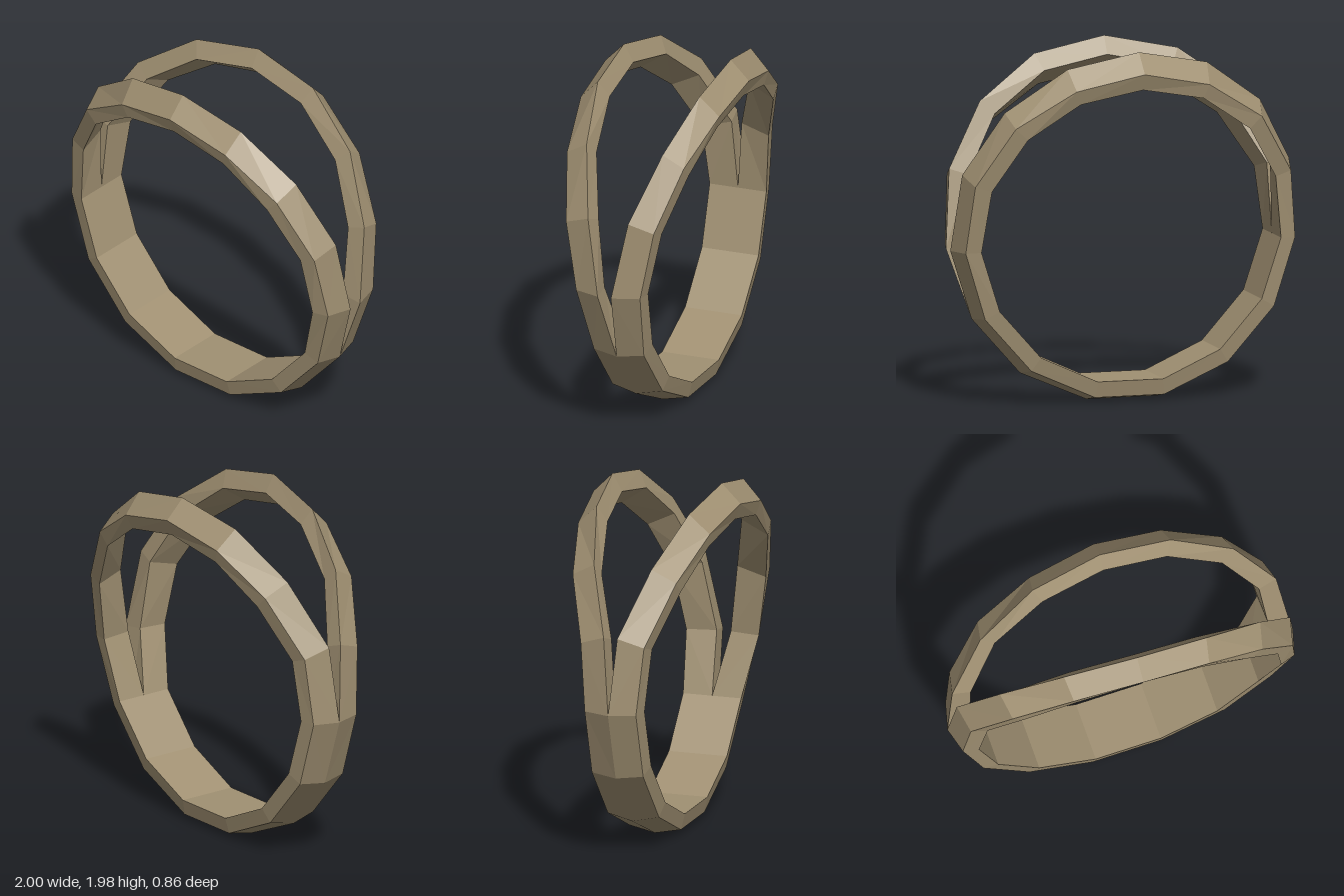
import * as THREE from 'three';

// Stations from the top down one side: ridge x,y | shoulder x,y | inner edge x,y
const outline = [
  [0, 1.99, 0, 1.88, 0, 1.79],
  [0.41, 1.91, 0.39, 1.80, 0.36, 1.723],
  [0.75, 1.67, 0.72, 1.595, 0.65, 1.53],
  [0.958, 1.315, 0.925, 1.265, 0.832, 1.237],
  [1, 0.88, 0.96, 0.885, 0.872, 0.888],
  [0.87, 0.49, 0.838, 0.505, 0.76, 0.55],
  [0.59, 0.175, 0.57, 0.205, 0.52, 0.28],
  [0.205, 0.01, 0.2, 0.04, 0.19, 0.13],
];
const innerScale = [0.9, 0.9, 0.895, 0.89, 0.88, 0.87, 0.87, 0.87];

// Distance from the middle plane: ridge, shoulder, inner edge, split edge
const top = [0.32, 0.43, 0.398, 0.262];
const closed = [0, 0.15, 0.17, 0];
const spread = {
  leftFront: [top, [0.305, 0.415, 0.395, 0.25], [0.23, 0.36, 0.365, 0.203], [0.135, 0.28, 0.29, 0.115], [0.06, 0.205, 0.235, 0.068]],
  leftBack: [top, [0.305, 0.415, 0.39, 0.25], [0.225, 0.34, 0.34, 0.19], [0.105, 0.245, 0.255, 0.09], [0.02, 0.178, 0.19, 0.015]],
  right: [top, [0.27, 0.385, 0.37, 0.22], [0.168, 0.303, 0.305, 0.15], [0.04, 0.185, 0.2, 0.03], closed],
};

// Four corners of the band section at one station
function section(i, xSide, zSide) {
  const [ax, ay, bx, by, cx, cy] = outline[i];
  const table = xSide < 0 ? spread.right : zSide > 0 ? spread.leftFront : spread.leftBack;
  const z = table[i] || closed;
  const k = innerScale[i];
  const open = z[0] > 0;
  const dx = open ? ax * k : cx;
  const dy = open ? 1 + (ay - 1) * k : cy;
  return {
    open,
    pts: [[ax, ay], [bx, by], [cx, cy], [dx, dy]].map(([x, y], j) => [x * xSide, y, z[j] * zSide]),
  };
}

// One half of the band, running full circle and leaning away from the other half
function halfBand(zSide) {
  const ring = [];
  for (let i = 0; i < 8; i++) ring.push(section(i, 1, zSide));
  for (let i = 7; i > 0; i--) ring.push(section(i, -1, zSide));
  const pos = [];
  const quad = (a, b, c, d) => {
    const order = zSide > 0 ? [a, b, c, a, c, d] : [a, c, b, a, d, c];
    order.forEach((p) => pos.push(...p));
  };
  ring.forEach((s, i) => {
    const n = ring[(i + 1) % ring.length];
    for (let k = 0; k < 4; k++) {
      // The split wall only exists where the halves are apart
      if (k === 3 && !s.open && !n.open) continue;
      const m = (k + 1) % 4;
      quad(s.pts[k], s.pts[m], n.pts[m], n.pts[k]);
    }
  });
  const geo = new THREE.BufferGeometry();
  geo.setAttribute('position', new THREE.Float32BufferAttribute(pos, 3));
  geo.computeVertexNormals();
  return geo;
}

export function createModel() {
  const metal = new THREE.MeshStandardMaterial({ color: 0xa09072 });
  metal.name = 'agedMetal';
  metal.flatShading = true;

  const group = new THREE.Group();
  group.name = 'splitRing';
  for (const [name, side] of [['frontBand', 1], ['backBand', -1]]) {
    const mesh = new THREE.Mesh(halfBand(side), metal);
    mesh.name = name;
    group.add(mesh);
  }
  return group;
}
